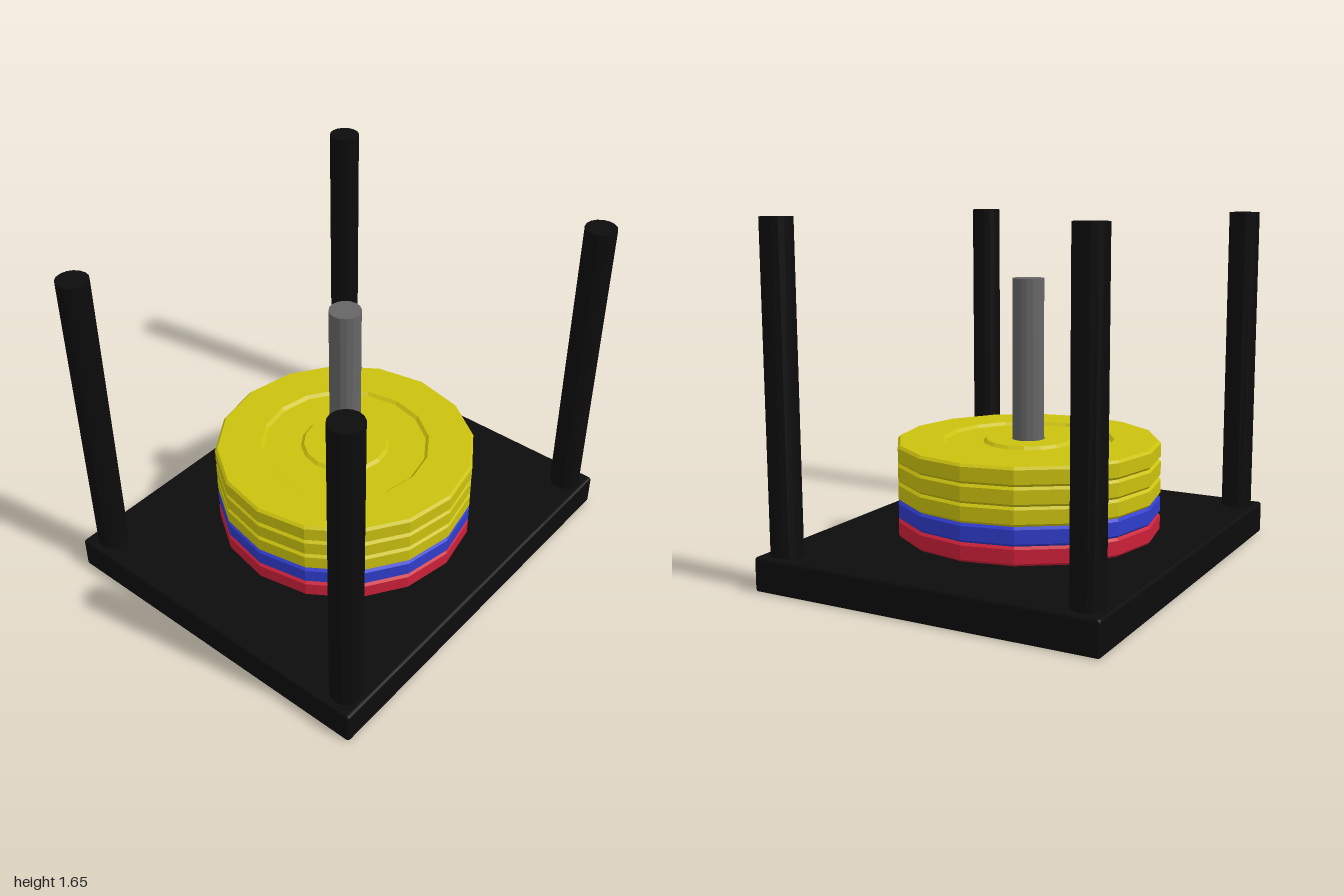
import * as THREE from 'three';
import { RoundedBoxGeometry } from 'three/addons/geometries/RoundedBoxGeometry.js';

const paint = (color) => new THREE.MeshStandardMaterial({ color, flatShading: true });

export function createModel() {
  const model = new THREE.Group();
  const black = paint(0x0c0c0c);
  const steel = paint(0x666666);
  const red = paint(0xcc2038);
  const blue = paint(0x2f3ccc);
  const yellow = paint(0xccc20e);

  const add = (name, geometry, material, x, y, z) => {
    const mesh = new THREE.Mesh(geometry, material);
    mesh.name = name;
    mesh.position.set(x, y, z);
    model.add(mesh);
  };

  // Base slab with softened edges
  const baseTop = 0.16;
  add('base', new RoundedBoxGeometry(2, baseTop, 1.69, 2, 0.015), black, 0, baseTop / 2, 0);

  // Four corner posts
  const postTop = 1.655;
  const postGeometry = new THREE.CylinderGeometry(0.074, 0.074, postTop - 0.1, 16);
  for (const x of [-0.893, 0.893]) {
    for (const z of [-0.743, 0.743]) {
      const name = (z > 0 ? 'front' : 'back') + (x > 0 ? 'Left' : 'Right') + 'Post';
      add(name, postGeometry, black, x, (postTop + 0.1) / 2, z);
    }
  }

  // Central spindle
  const spindleTop = 1.36;
  add('spindle', new THREE.CylinderGeometry(0.075, 0.075, spindleTop - 0.1, 16), steel,
    0, (spindleTop + 0.1) / 2, 0);

  // Weight plate: chamfered rim, shallow ring recess on both faces, centre hole
  const pitch = 0.088, h = pitch / 2, bevel = 0.012, recess = 0.015;
  const upper = [
    [0.63, h - bevel], [0.618, h], [0.41, h], [0.395, h - recess],
    [0.215, h - recess], [0.2, h], [0.082, h],
  ];
  const lower = upper.map(([r, y]) => [r, -y]).reverse();
  const profile = [...lower, ...upper, lower[0]].map(([r, y]) => new THREE.Vector2(r, y));
  const plateGeometry = new THREE.LatheGeometry(profile, 16);

  [red, blue, yellow, yellow, yellow].forEach((material, i) => {
    add('weightPlate' + (i + 1), plateGeometry, material, 0, baseTop + pitch * (i + 0.5), 0);
  });

  return model;
}
